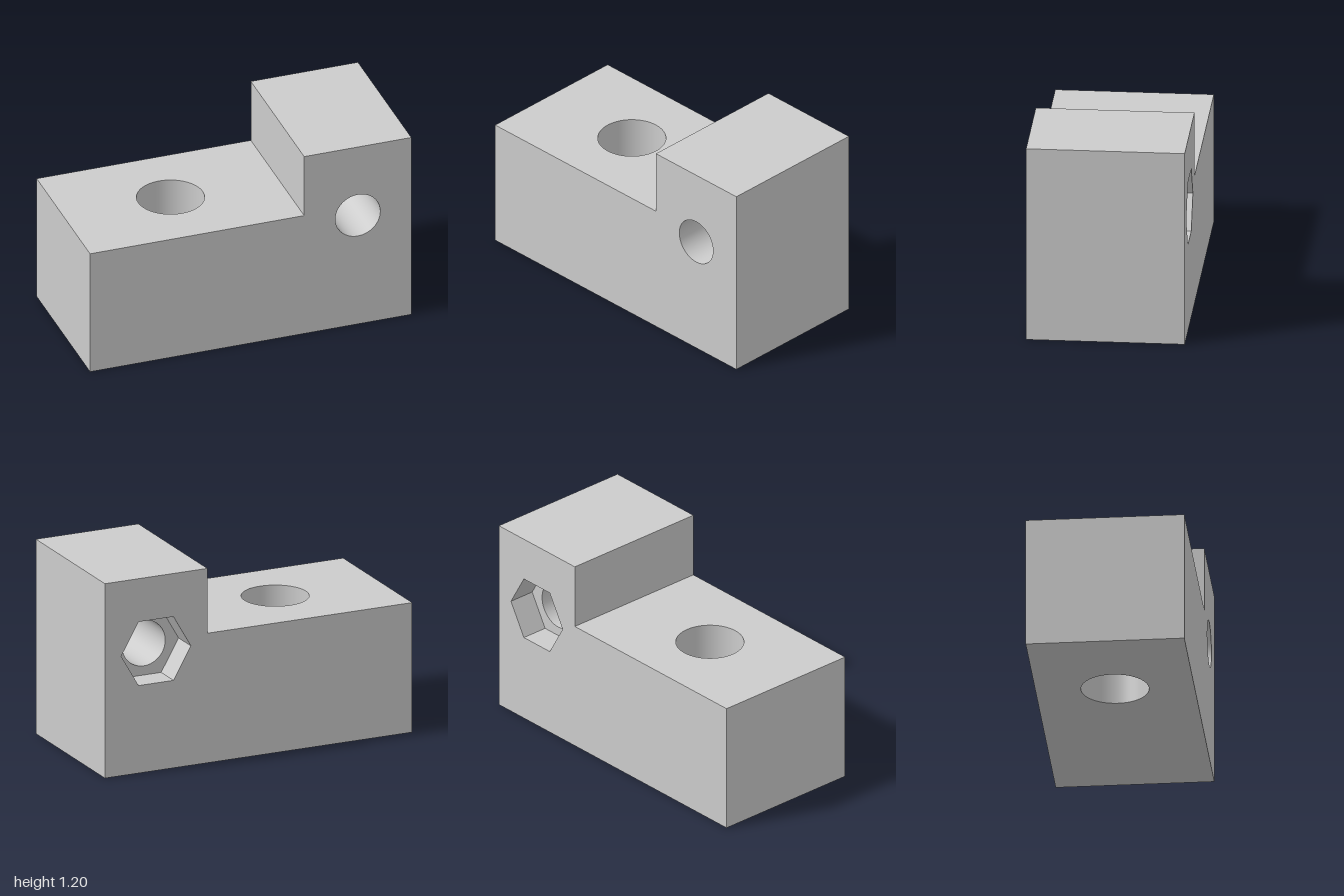
import * as THREE from 'three';
import { mergeGeometries } from 'three/addons/utils/BufferGeometryUtils.js';

const HALF = 0.467;                         // half depth of the block
const LOW = 0.8, HIGH = 1.2, STEP = 0.333;  // step heights and position
const BOLT = { x: 0.667, y: 0.737, r: 0.14 };
const NUT = { r: 0.227, depth: 0.167 };
const BORE = { x: -0.333, r: 0.2 };
const SIDES = 64;

// Regular polygon outline, used for round and hexagonal openings
function ring(x, y, r, n) {
  return Array.from({ length: n }, (_, i) => {
    const a = (i / n) * Math.PI * 2;
    return new THREE.Vector2(x + r * Math.cos(a), y + r * Math.sin(a));
  });
}

// Flat face in the xy plane, facing +z, with an optional opening
function face(outline, hole) {
  const shape = new THREE.Shape(outline);
  if (hole) shape.holes.push(new THREE.Path(hole));
  return new THREE.ShapeGeometry(shape);
}

function rect(x0, y0, x1, y1) {
  return [[x0, y0], [x1, y0], [x1, y1], [x0, y1]].map(p => new THREE.Vector2(...p));
}

// Inward-facing wall of an opening along y
function wall(r, y0, y1, n) {
  const points = [new THREE.Vector2(r, y1), new THREE.Vector2(r, y0)];
  return new THREE.LatheGeometry(points, n, Math.PI / 2);
}

export function createModel() {
  const group = new THREE.Group();
  group.name = 'steppedClampBlock';
  const grey = new THREE.MeshStandardMaterial({ color: 0xcccccc });
  grey.name = 'light grey';
  const add = (name, geometry) => {
    const mesh = new THREE.Mesh(geometry, grey);
    mesh.name = name;
    group.add(mesh);
  };
  const Q = Math.PI / 2;

  // L-shaped side profile; the back is mirrored in x so it faces -z
  const profile = [[-1, 0], [1, 0], [1, HIGH], [STEP, HIGH], [STEP, LOW], [-1, LOW]]
    .map(p => new THREE.Vector2(...p));
  const mirrored = profile.map(p => new THREE.Vector2(-p.x, p.y)).reverse();

  // Outer skin of the block
  add('blockBody', mergeGeometries([
    face(profile, ring(BOLT.x, BOLT.y, BOLT.r, SIDES)).translate(0, 0, HALF),
    face(mirrored, ring(-BOLT.x, BOLT.y, NUT.r, 6)).rotateY(Math.PI).translate(0, 0, -HALF),
    face(rect(-1, -HALF, STEP, HALF), ring(BORE.x, 0, BORE.r, SIDES)).rotateX(-Q).translate(0, LOW, 0),
    face(rect(STEP, -HALF, 1, HALF)).rotateX(-Q).translate(0, HIGH, 0),
    face(rect(-1, -HALF, 1, HALF), ring(BORE.x, 0, BORE.r, SIDES)).rotateX(Q),
    face(rect(-HALF, 0, HALF, HIGH)).rotateY(Q).translate(1, 0, 0),
    face(rect(-HALF, 0, HALF, LOW)).rotateY(-Q).translate(-1, 0, 0),
    face(rect(-HALF, LOW, HALF, HIGH)).rotateY(-Q).translate(STEP, 0, 0),
  ]));

  // Vertical through hole
  add('verticalBore', wall(BORE.r, 0, LOW, SIDES).translate(BORE.x, 0, 0));

  // Horizontal bolt hole, ending at the nut pocket
  const floorZ = -HALF + NUT.depth;
  add('boltHole', wall(BOLT.r, floorZ, HALF, SIDES).rotateX(Q).translate(BOLT.x, BOLT.y, 0));

  // Hexagonal nut pocket in the back
  const sides = wall(NUT.r, -HALF, floorZ, 6).toNonIndexed();
  sides.computeVertexNormals();
  add('nutPocketWalls', sides.rotateX(Q).translate(BOLT.x, BOLT.y, 0));
  add('nutPocketFloor', face(ring(0, 0, NUT.r, 6), ring(0, 0, BOLT.r, SIDES))
    .rotateY(Math.PI).translate(BOLT.x, BOLT.y, floorZ));

  return group;
}
